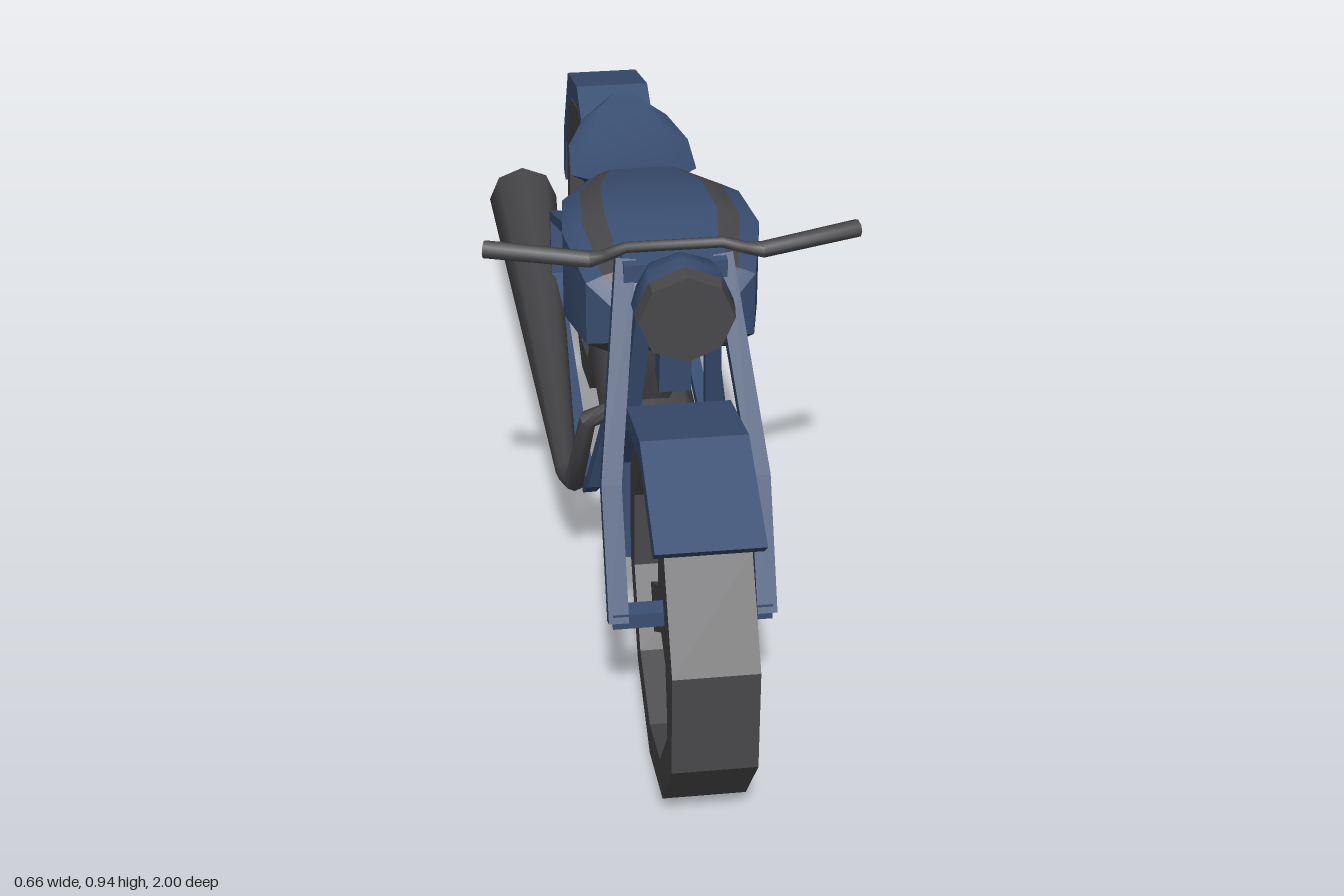
import * as THREE from 'three';
import { toCreasedNormals } from 'three/addons/utils/BufferGeometryUtils.js';

const V = (x, y, z) => new THREE.Vector3(x, y, z);

// Skin a list of equal-length rings, capped at both ends; mats gives a material index per strip
function loft(rings, crease = 0.4, mats = null) {
  const pos = [], n = rings[0].length, last = rings.length - 1;
  const geo = new THREE.BufferGeometry();
  const tri = (...p) => p.forEach(q => pos.push(q.x, q.y, q.z));
  for (let j = 0; j < n; j++) {
    const k = (j + 1) % n, start = pos.length / 3;
    for (let i = 0; i < last; i++) {
      const a = rings[i], b = rings[i + 1];
      tri(a[j], a[k], b[k]);
      tri(a[j], b[k], b[j]);
    }
    if (mats) geo.addGroup(start, pos.length / 3 - start, mats[j]);
  }
  const start = pos.length / 3;
  for (let j = 1; j < n - 1; j++) {
    tri(rings[0][0], rings[0][j + 1], rings[0][j]);
    tri(rings[last][0], rings[last][j], rings[last][j + 1]);
  }
  if (mats) geo.addGroup(start, pos.length / 3 - start, 0);
  geo.setAttribute('position', new THREE.Float32BufferAttribute(pos, 3));
  return toCreasedNormals(geo, crease);
}

// Sweep an n-sided section along a polyline; r is one radius or one per point
function sweep(pts, r, n, { ref = V(1, 0, 0), crease = 0.4 } = {}) {
  const rings = pts.map((p, i) => {
    const t = V(0, 0, 0);
    if (i > 0) t.add(p.clone().sub(pts[i - 1]).normalize());
    if (i < pts.length - 1) t.add(pts[i + 1].clone().sub(p).normalize());
    t.normalize();
    const u = ref.clone().addScaledVector(t, -ref.dot(t)).normalize();
    const v = t.clone().cross(u), rad = Array.isArray(r) ? r[i] : r;
    return Array.from({ length: n }, (_, j) => {
      const a = (j / n) * Math.PI * 2 + (n === 4 ? Math.PI / 4 : 0);
      return p.clone().addScaledVector(u, rad * Math.cos(a)).addScaledVector(v, rad * Math.sin(a));
    });
  });
  return loft(rings, crease);
}

// Extrude a [z, y] side outline across x, centred
function slab(outline, width) {
  const shape = new THREE.Shape(outline.map(([z, y]) => new THREE.Vector2(-z, y)));
  const geo = new THREE.ExtrudeGeometry(shape, { depth: width, bevelEnabled: false });
  return geo.translate(0, 0, -width / 2).rotateY(Math.PI / 2);
}

export function createModel() {
  const model = new THREE.Group();
  const blue = new THREE.MeshStandardMaterial({ color: 0x3b5074 });
  blue.name = 'bluePaint';
  const grey = new THREE.MeshStandardMaterial({ color: 0x48474a });
  grey.name = 'darkGrey';
  const add = (name, geo, mat, parent = model) => {
    const mesh = new THREE.Mesh(geo, mat);
    mesh.name = name;
    parent.add(mesh);
    return mesh;
  };

  // Wheels: ten-sided tyre ring with a thinner five-spoke disc
  const tyreProfile = [[0.255, -0.073], [0.322, -0.073], [0.322, 0.073], [0.255, 0.073], [0.255, -0.073]]
    .map(([r, x]) => new THREE.Vector2(r, x));
  const tyre = toCreasedNormals(
    new THREE.LatheGeometry(tyreProfile, 10, Math.PI / 2).rotateZ(Math.PI / 2), 0.4);
  const spokeOutline = [];
  for (let k = 0; k < 5; k++) {
    const a = Math.PI + (k * Math.PI * 2) / 5, c = Math.cos(a), s = Math.sin(a);
    for (const [r, w] of [[0.115, -0.042], [0.255, -0.046], [0.255, 0.046], [0.115, 0.042]]) {
      spokeOutline.push([-(r * c - w * s), r * s + w * c]);
    }
  }
  const spokes = slab(spokeOutline, 0.09);
  for (const [name, z] of [['frontWheel', 0.695], ['rearWheel', -0.62]]) {
    const wheel = new THREE.Group();
    wheel.name = name;
    wheel.position.set(0, 0.322, z);
    add('tyre', tyre, grey, wheel);
    add('spokes', spokes, grey, wheel);
    model.add(wheel);
  }

  // Fenders
  add('frontFender', slab([[0.92, 0.615], [0.705, 0.69], [0.5, 0.625], [0.368, 0.455], [0.348, 0.212],
    [0.386, 0.212], [0.39, 0.43], [0.515, 0.592], [0.7, 0.65], [0.89, 0.585]], 0.184), blue);
  add('rearFender', slab([[-0.335, 0.52], [-0.405, 0.63], [-0.62, 0.7], [-0.845, 0.625], [-0.973, 0.433],
    [-1.0, 0.3], [-0.963, 0.295], [-0.935, 0.41], [-0.815, 0.588], [-0.62, 0.653], [-0.426, 0.59],
    [-0.365, 0.5]], 0.15), blue);

  // Fuel tank with grey bands along the shoulders and a grey underside
  const tankSections = [[-0.12, 0.075, 0.66, 0.73], [-0.09, 0.1, 0.64, 0.78], [0.08, 0.165, 0.632, 0.84],
    [0.24, 0.178, 0.632, 0.865], [0.385, 0.15, 0.665, 0.835], [0.42, 0.105, 0.695, 0.79]];
  const tankHalf = [[0.7, 0], [1, 0.13], [1, 0.86], [0.8, 0.94], [0.57, 1]];
  const tankOutline = [...tankHalf, ...tankHalf.map(([x, y]) => [-x, y]).reverse()];
  const tankRings = tankSections.map(([z, w, lo, hi]) =>
    tankOutline.map(([x, y]) => V(x * w, lo + y * (hi - lo), z)));
  add('fuelTank', loft(tankRings, 0.55, [1, 0, 0, 1, 0, 1, 0, 0, 1, 1]), [blue, grey]);

  // Seat
  const seatRings = [[-0.408, 0.03, 0.785, 0.75], [-0.37, 0.085, 0.775, 0.725], [-0.3, 0.12, 0.755, 0.7],
    [-0.2, 0.124, 0.742, 0.686], [-0.105, 0.07, 0.762, 0.725]].map(([z, w, hi, lo]) =>
    [[1, 0.5], [0.6, 1], [-0.6, 1], [-1, 0.5], [-0.6, 0], [0.6, 0]]
      .map(([x, y]) => V(x * w, lo + y * (hi - lo), z)));
  add('seat', loft(seatRings, 0.7), blue);

  // Frame tubes and fork legs, mirrored
  for (const [side, s] of [['left', 1], ['right', -1]]) {
    const path = pts => pts.map(([x, y, z]) => V(x * s, y, z));
    add(side + 'FrameTube', sweep(path([[0.07, 0.69, 0.39], [0.128, 0.295, 0.25], [0.13, 0.228, 0.17],
      [0.13, 0.215, -0.04], [0.13, 0.245, -0.435], [0.13, 0.29, -0.545], [0.13, 0.425, -0.56],
      [0.12, 0.65, -0.06]]), 0.018, 4), blue);
    add(side + 'ForkLeg', sweep(path([[0.084, 0.875, 0.415], [0.13, 0.53, 0.595], [0.13, 0.315, 0.707]]),
      0.025, 4), blue);
    add(side + 'ForkStrut', sweep(path([[0.06, 0.8, 0.48], [0.08, 0.43, 0.37]]), 0.02, 4), blue);
  }
  add('forkClamp', new THREE.BoxGeometry(0.18, 0.035, 0.06).translate(0, 0.862, 0.42), blue);
  add('steeringNeck', sweep([V(0, 0.85, 0.45), V(0, 0.62, 0.42)], 0.04, 4), blue);
  add('frontAxle', new THREE.BoxGeometry(0.28, 0.03, 0.035).translate(0, 0.322, 0.7), blue);

  // Headlamp
  add('headlampShell', sweep([V(0, 0.87, 0.455), V(0, 0.86, 0.485), V(0, 0.855, 0.535), V(0, 0.855, 0.57)],
    [0.04, 0.073, 0.087, 0.086], 8, { crease: 0.8 }), blue);
  add('headlampLens', sweep([V(0, 0.855, 0.57), V(0, 0.855, 0.6)], [0.086, 0.082], 8), grey);

  // Handlebar with thicker grips
  const bar = [[0.325, 0.4], [0.15, 0.455], [0.125, 0.448], [0.085, 0.422]];
  add('handlebar', sweep([...bar.map(([x, z]) => V(-x, 0.9, z)), ...bar.reverse().map(([x, z]) => V(x, 0.9, z))],
    [0.016, 0.015, 0.011, 0.01, 0.01, 0.011, 0.015, 0.016], 8, { ref: V(0, 1, 0), crease: 0.9 }), grey);

  // Engine: lying crankcase, upright tapered cylinder and rounded rear box
  add('crankcase', sweep([V(0, 0.312, -0.265), V(0, 0.312, 0.22), V(0, 0.312, 0.25)],
    [0.094, 0.094, 0.07], 8, { crease: 0.8 }), grey);
  const cylinderProfile = [[0, 0.38], [0.038, 0.38], [0.075, 0.48], [0.095, 0.57], [0.095, 0.65], [0, 0.65]]
    .map(([r, y]) => new THREE.Vector2(r, y));
  add('engineCylinder', toCreasedNormals(
    new THREE.LatheGeometry(cylinderProfile, 8).translate(0, 0, 0.1), 0.8), grey);
  const box = [[-0.29, 0.58], [-0.17, 0.57], [-0.12, 0.5], [-0.14, 0.4], [-0.355, 0.41], [-0.345, 0.5]];
  const boxRings = [[-0.1, 0.7], [-0.06, 1], [0.06, 1], [0.1, 0.7]].map(([x, k]) =>
    box.map(([z, y]) => V(x, 0.49 + (y - 0.49) * k, -0.24 + (z + 0.24) * k)));
  add('airBox', loft(boxRings, 0.8), grey);

  // Exhaust on the right: bent header pipe flaring into a long cone
  add('exhaust', sweep([V(-0.175, 0.257, -0.96), V(-0.172, 0.25, 0.15), V(-0.165, 0.29, 0.24),
    V(-0.145, 0.49, 0.33), V(-0.1, 0.515, 0.34), V(-0.04, 0.52, 0.16)],
  [0.077, 0.021, 0.019, 0.018, 0.018, 0.018], 8, { crease: 0.9 }), grey);

  return model;
}
